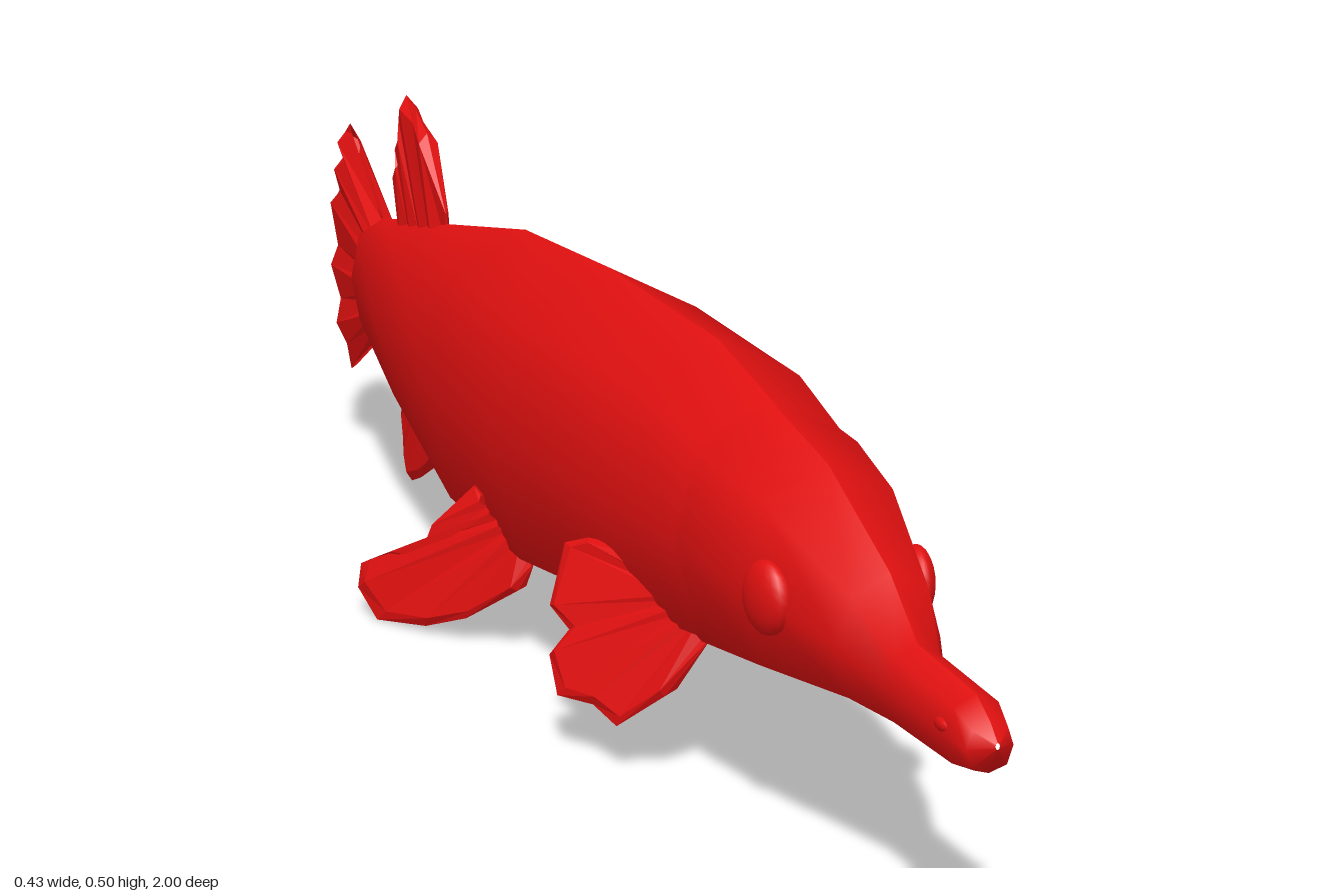
import * as THREE from 'three';

const RED = 0xe01010;
const bodyMat = new THREE.MeshStandardMaterial({ color: RED });
const finMat = new THREE.MeshStandardMaterial({ color: RED, flatShading: true, side: THREE.DoubleSide });

// Skin a row of open cross-sections, each a list of [x, y, z].
function loft(rings, flip = false) {
  const n = rings[0].length, index = [];
  for (let i = 0; i < rings.length - 1; i++) {
    for (let j = 0; j < n - 1; j++) {
      const a = i * n + j, b = a + 1, c = a + n, d = c + 1;
      if (flip) index.push(a, c, b, b, c, d);
      else index.push(a, b, c, b, d, c);
    }
  }
  const geo = new THREE.BufferGeometry();
  geo.setAttribute('position', new THREE.Float32BufferAttribute(rings.flat(2), 3));
  geo.setIndex(index);
  geo.computeVertexNormals();
  return geo;
}

// Fan-shaped fin in (z, y) with ridged rays, from a straight root to a ragged tip.
// lean(z, y) gives the x of the fin's middle plane.
function fin(name, rootA, rootB, tips, thick, lean = () => 0) {
  const last = tips.length - 1;
  const rings = tips.map((tip, k) => {
    const u = k / last;
    const root = [0, 1].map((i) => rootA[i] + (rootB[i] - rootA[i]) * u);
    const t = k === 0 || k === last ? thick * 0.15 : thick * (k % 2 ? 1 : 0.6);
    const at = (v, off) => {
      const z = root[0] + (tip[0] - root[0]) * v, y = root[1] + (tip[1] - root[1]) * v;
      return [lean(z, y) + off, y, z];
    };
    return [at(0, t), at(0.9, t), at(1, 0), at(0.9, -t), at(0, -t)];
  });
  const mesh = new THREE.Mesh(loft(rings), finMat);
  mesh.name = name;
  return mesh;
}

// Body stations from snout to tail: z, top, bottom, half width
const STATIONS = [
  [1.0, 0.198, 0.192, 0.002],
  [0.985, 0.212, 0.167, 0.022],
  [0.957, 0.228, 0.16, 0.028],
  [0.84, 0.237, 0.158, 0.028],
  [0.78, 0.285, 0.157, 0.05],
  [0.64, 0.35, 0.138, 0.087],
  [0.53, 0.373, 0.125, 0.104],
  [0.5, 0.381, 0.121, 0.097],
  [0.37, 0.41, 0.103, 0.115],
  [0.055, 0.423, 0.067, 0.133],
  [-0.217, 0.415, 0.067, 0.122],
  [-0.53, 0.367, 0.13, 0.086],
  [-0.785, 0.33, 0.18, 0.043],
  [-0.815, 0.265, 0.245, 0.012],
  [-0.82, 0.257, 0.253, 0],
];

// Half cross-section from back ridge to belly ridge: x and y factors
const SECTION = [[0, 1], [0.75, 0.72], [1, 0], [0.75, -0.74], [0, -1]];

export function createModel() {
  const model = new THREE.Group();
  model.name = 'fish';

  // Body halves, meeting in a sharp ridge along back and belly
  for (const s of [1, -1]) {
    const rings = STATIONS.map(([z, top, bottom, w]) => SECTION.map(([fx, fy]) =>
      [s * fx * w, (top + bottom) / 2 + fy * (top - bottom) / 2, z]));
    const half = new THREE.Mesh(loft(rings, s < 0), bodyMat);
    half.name = s > 0 ? 'bodyLeft' : 'bodyRight';
    model.add(half);
  }

  // Tail, dorsal and anal fins on the centre line
  model.add(fin('tailFin', [-0.775, 0.325], [-0.775, 0.185], [
    [-0.93, 0.43], [-0.955, 0.415], [-0.945, 0.39], [-0.975, 0.375], [-0.97, 0.345],
    [-0.997, 0.325], [-0.985, 0.265], [-1.0, 0.235], [-0.975, 0.19], [-0.975, 0.155],
    [-0.945, 0.13], [-0.942, 0.1],
  ], 0.016));
  model.add(fin('dorsalFin', [-0.52, 0.355], [-0.715, 0.33], [
    [-0.51, 0.385], [-0.59, 0.468], [-0.635, 0.49], [-0.675, 0.503], [-0.695, 0.485],
    [-0.682, 0.457], [-0.71, 0.442], [-0.69, 0.418], [-0.718, 0.4], [-0.718, 0.36],
  ], 0.012));
  model.add(fin('analFin', [-0.52, 0.14], [-0.715, 0.175], [
    [-0.515, 0.115], [-0.58, 0.05], [-0.63, 0.027], [-0.67, 0.013], [-0.695, 0.03],
    [-0.68, 0.06], [-0.7, 0.083], [-0.68, 0.105], [-0.7, 0.125], [-0.7, 0.155],
  ], 0.01));

  // Paired fins, eyes and nostrils, mirrored
  for (const s of [1, -1]) {
    const side = s > 0 ? 'Left' : 'Right';
    model.add(fin('pectoralFin' + side, [0.49, 0.15], [0.42, 0.19], [
      [0.495, 0.142], [0.475, 0.088], [0.437, 0.05], [0.4, 0.062], [0.355, 0.06],
      [0.325, 0.093], [0.335, 0.12], [0.3, 0.136], [0.285, 0.195], [0.31, 0.205], [0.4, 0.202],
    ], 0.009, (z, y) => s * (0.06 - 0.45 * (z - 0.49) - 0.475 * (y - 0.147))));
    model.add(fin('pelvicFin' + side, [0.04, 0.11], [-0.045, 0.16], [
      [0.045, 0.1], [0.035, 0.072], [-0.02, 0.03], [-0.07, 0.01], [-0.137, 0.002],
      [-0.175, 0.03], [-0.18, 0.056], [-0.148, 0.072], [-0.105, 0.074], [-0.095, 0.115],
      [-0.058, 0.168],
    ], 0.009, (z, y) => s * (0.12 - 0.5 * z - 0.3 * (y - 0.05))));

    const eye = new THREE.Mesh(new THREE.SphereGeometry(1, 16, 12), bodyMat);
    eye.name = 'eye' + side;
    eye.scale.set(0.016, 0.035, 0.033);
    eye.position.set(s * 0.074, 0.241, 0.677);
    eye.rotation.y = -s * 0.2;
    model.add(eye);

    const nostril = new THREE.Mesh(new THREE.SphereGeometry(1, 8, 6), bodyMat);
    nostril.name = 'nostril' + side;
    nostril.scale.set(0.004, 0.006, 0.012);
    nostril.position.set(s * 0.026, 0.2, 0.945);
    model.add(nostril);
  }
  return model;
}
